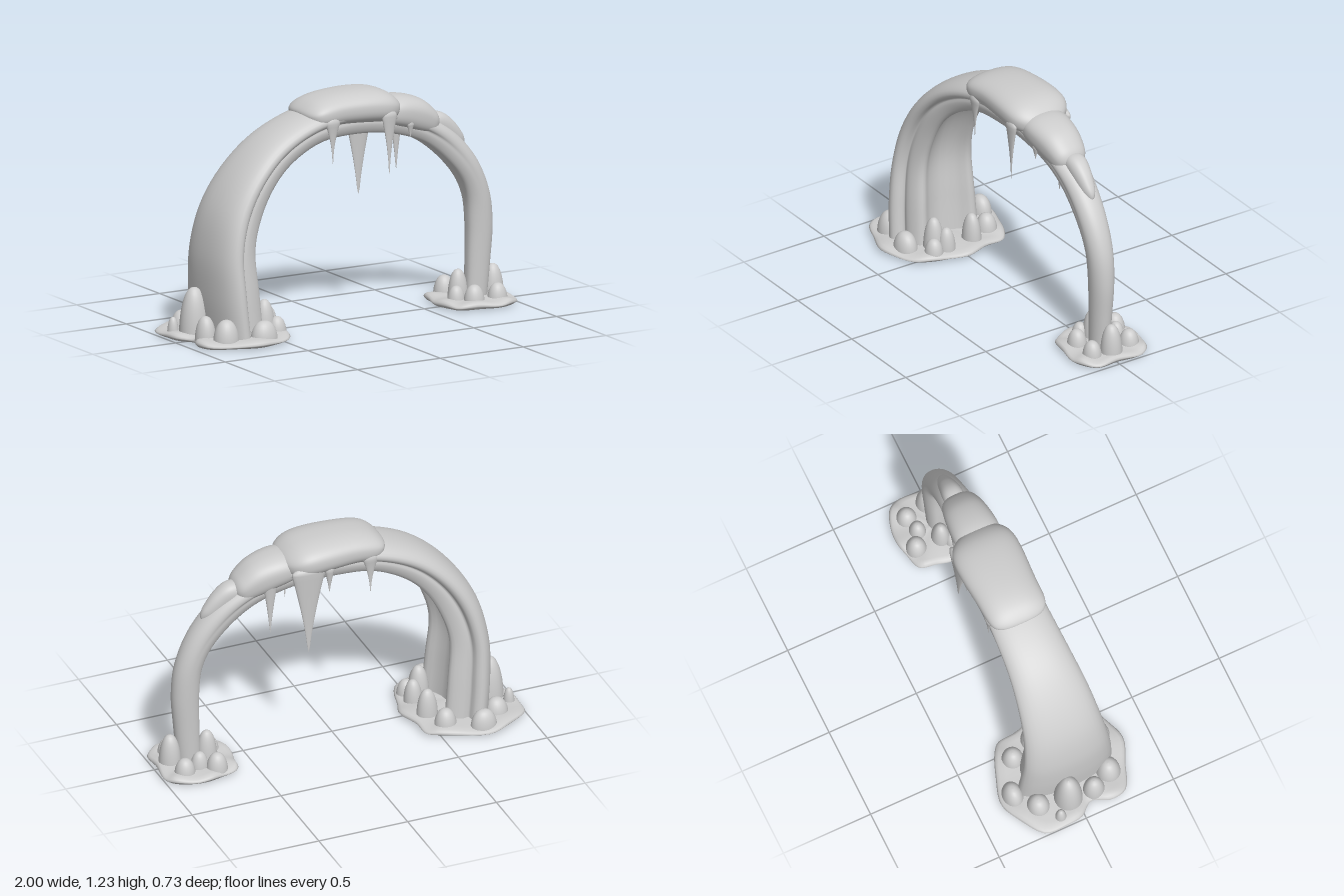
import * as THREE from 'three';

const stone = new THREE.MeshStandardMaterial({ color: 0xcccccc, side: THREE.DoubleSide });
stone.name = 'greyStone';

const add = (parent, name, geometry) => {
  const mesh = new THREE.Mesh(geometry, stone);
  mesh.name = name;
  parent.add(mesh);
  return mesh;
};

// Skin a list of closed rings that all have the same number of points
function loft(rings) {
  const n = rings[0].length, index = [];
  for (let i = 0; i < rings.length - 1; i++) {
    for (let j = 0; j < n; j++) {
      const a = i * n + j, b = i * n + (j + 1) % n;
      index.push(a, b, a + n, b, b + n, a + n);
    }
  }
  const g = new THREE.BufferGeometry();
  g.setAttribute('position', new THREE.Float32BufferAttribute(rings.flat(2), 3));
  g.setIndex(index);
  g.computeVertexNormals();
  return g;
}

// Cross-sections: u runs across the arch, v from its outer (0) to its inner side (1)
const SIDES = 56;
const halfProfile = [
  [0, 0], [0.45, 0.03], [0.8, 0.13], [0.98, 0.28], [1, 0.41], [0.92, 0.51], [0.78, 0.55],
  [0.8, 0.65], [0.77, 0.79], [0.67, 0.95], [0.54, 0.97], [0.36, 0.82], [0, 0.7],
];
const fullProfile = [...halfProfile, ...halfProfile.slice(1, -1).reverse().map(([u, v]) => [-u, v])];
const profileCurve = new THREE.CatmullRomCurve3(
  fullProfile.map(([u, v]) => new THREE.Vector3(u, v, 0)), true);
const grooved = [], rounded = [], padded = [];
const soft = (x, e) => Math.sign(x) * Math.abs(x) ** e;
for (let j = 0; j < SIDES; j++) {
  const p = profileCurve.getPoint(j / SIDES), a = j / SIDES * Math.PI * 2;
  const s = Math.sin(a), c = Math.cos(a);
  grooved.push([p.x, p.y]);
  rounded.push([s, 0.5 - 0.5 * c]);
  padded.push([soft(s, c > 0 ? 0.85 : 0.45), 0.5 - 0.5 * soft(c, 0.85)]);
}

// Stations are [outerX, outerY, innerX, innerY, halfWidth, centreZ]
function sweep(stations, steps, section, capped) {
  const outer = new THREE.CatmullRomCurve3(
    stations.map(s => new THREE.Vector3(s[0], s[1], s[4])), false, 'catmullrom');
  const inner = new THREE.CatmullRomCurve3(
    stations.map(s => new THREE.Vector3(s[2], s[3], s[5])), false, 'catmullrom');
  const rings = [];
  for (let i = 0; i <= steps; i++) {
    const t = capped ? 0.5 - 0.5 * Math.cos(i / steps * Math.PI) : i / steps;
    const o = outer.getPoint(t), n = inner.getPoint(t);
    const size = capped ? Math.max(0, 1 - Math.abs(2 * t - 1) ** 5) ** 0.3 : 1;
    rings.push(section(t).map(([u, v]) => {
      const k = 0.5 + (v - 0.5) * size;
      return [o.x + (n.x - o.x) * k, o.y + (n.y - o.y) * k, n.z + u * o.z * size];
    }));
  }
  return loft(rings);
}

const archStations = [
  [-0.82, 0.02, -0.565, 0.02, 0.265, 0.003], [-0.84, 0.25, -0.585, 0.25, 0.253, 0.003],
  [-0.835, 0.47, -0.6, 0.47, 0.233, 0], [-0.78, 0.69, -0.555, 0.64, 0.212, 0],
  [-0.66, 0.88, -0.47, 0.79, 0.193, 0], [-0.48, 1.04, -0.35, 0.9, 0.173, -0.004],
  [-0.25, 1.14, -0.18, 0.98, 0.16, -0.01], [0, 1.18, 0, 1, 0.152, -0.012],
  [0.28, 1.14, 0.2, 0.985, 0.128, -0.01], [0.5, 1.04, 0.4, 0.93, 0.102, -0.008],
  [0.67, 0.93, 0.54, 0.845, 0.088, -0.005], [0.8, 0.78, 0.67, 0.71, 0.08, 0],
  [0.88, 0.6, 0.735, 0.58, 0.072, 0], [0.903, 0.42, 0.752, 0.42, 0.065, 0],
  [0.89, 0.22, 0.75, 0.22, 0.057, 0], [0.87, 0.02, 0.745, 0.02, 0.051, 0],
];

// Melted pads lying over the crown, big to small
const pads = {
  crownPad: [
    [-0.27, 1.165, -0.245, 1.075, 0.165, -0.01], [-0.18, 1.205, -0.17, 1.06, 0.166, -0.01],
    [-0.06, 1.226, -0.06, 1.065, 0.168, -0.015], [0.1, 1.23, 0.08, 1.06, 0.178, -0.018],
    [0.22, 1.215, 0.2, 1.05, 0.177, -0.018], [0.325, 1.17, 0.305, 1.045, 0.155, -0.012],
  ],
  middlePad: [
    [0.2, 1.17, 0.2, 1.02, 0.135, -0.008], [0.34, 1.168, 0.32, 1.0, 0.127, -0.008],
    [0.46, 1.135, 0.41, 0.97, 0.115, -0.008], [0.54, 1.075, 0.49, 0.945, 0.098, -0.008],
    [0.585, 1.02, 0.54, 0.92, 0.08, -0.01],
  ],
  smallPad: [
    [0.5, 1.05, 0.46, 0.95, 0.055, -0.01], [0.6, 1.04, 0.54, 0.93, 0.057, -0.012],
    [0.67, 0.99, 0.6, 0.89, 0.05, -0.01], [0.725, 0.92, 0.66, 0.84, 0.037, -0.008],
    [0.755, 0.87, 0.71, 0.81, 0.018, -0.006],
  ],
};

// Icicles: [x, z, topY, tipY, radiusX, radiusZ, taper]
const icicles = [
  [-0.135, 0.14, 1.09, 0.875, 0.042, 0.018, 2], [0.205, 0.142, 1.09, 0.78, 0.045, 0.018, 1.7],
  [0.2, -0.163, 1.09, 0.615, 0.095, 0.027, 1.35], [-0.15, -0.158, 1.09, 0.89, 0.042, 0.018, 1.9],
  [0.085, -0.168, 1.08, 0.95, 0.026, 0.018, 1.3], [0.39, -0.1, 1.03, 0.74, 0.04, 0.02, 1.3],
  [0.36, 0.095, 1.02, 0.95, 0.022, 0.015, 1.3],
];

// Thin spike that flares upward and ends in a rounded shoulder
function icicle([, , top, tip, , , taper]) {
  const points = [new THREE.Vector2(0, 0)];
  for (let i = 1; i <= 14; i++) {
    const h = i / 14;
    points.push(new THREE.Vector2(0.06 + 0.94 * h ** taper, h * (top - tip)));
  }
  for (let i = 1; i <= 5; i++) {
    const a = i / 5 * Math.PI / 2;
    points.push(new THREE.Vector2(Math.cos(a), top - tip + 0.035 * Math.sin(a)));
  }
  return new THREE.LatheGeometry(points, 20);
}

// Feet: puddle outline in x, z and pebbles [x, z, radiusX, radiusZ, topY]
const feet = {
  wideFoot: {
    centre: [-0.7, 0],
    outline: [[-0.99, -0.23], [-0.87, -0.32], [-0.75, -0.37], [-0.6, -0.33], [-0.48, -0.28],
      [-0.43, -0.235], [-0.42, -0.13], [-0.38, 0], [-0.41, 0.1], [-0.43, 0.19], [-0.48, 0.28],
      [-0.58, 0.33], [-0.69, 0.36], [-0.82, 0.31], [-0.95, 0.25], [-0.97, 0.16], [-0.93, 0.06],
      [-0.99, -0.02], [-1, -0.12]],
    pebbles: [[-0.73, -0.295, 0.072, 0.055, 0.125], [-0.84, -0.2, 0.065, 0.06, 0.12],
      [-0.945, -0.12, 0.03, 0.03, 0.11], [-0.865, -0.04, 0.08, 0.075, 0.275],
      [-0.88, 0.1, 0.055, 0.058, 0.15], [-0.82, 0.21, 0.07, 0.065, 0.145],
      [-0.615, 0.25, 0.075, 0.06, 0.125], [-0.54, 0.125, 0.058, 0.055, 0.205],
      [-0.485, 0.16, 0.052, 0.05, 0.115], [-0.55, -0.21, 0.06, 0.058, 0.125],
      [-0.5, -0.085, 0.058, 0.05, 0.185], [-0.49, 0.08, 0.05, 0.05, 0.155]],
  },
  narrowFoot: {
    centre: [0.79, -0.02],
    outline: [[0.59, -0.1], [0.61, -0.19], [0.7, -0.22], [0.78, -0.24], [0.88, -0.23],
      [0.97, -0.19], [1, -0.13], [0.99, 0], [0.99, 0.12], [0.93, 0.18], [0.86, 0.2],
      [0.75, 0.185], [0.635, 0.16], [0.595, 0.1], [0.57, 0]],
    pebbles: [[0.715, -0.16, 0.058, 0.055, 0.125], [0.885, -0.135, 0.056, 0.054, 0.115],
      [0.795, -0.115, 0.05, 0.045, 0.125], [0.915, -0.005, 0.06, 0.058, 0.195],
      [0.885, 0.095, 0.055, 0.05, 0.115], [0.745, 0.095, 0.057, 0.052, 0.12],
      [0.715, -0.02, 0.056, 0.05, 0.185], [0.675, 0.03, 0.048, 0.045, 0.11]],
  },
};

// Thin puddle with a wavy rounded rim, hollow underneath
function puddle(outline, [cx, cz]) {
  const curve = new THREE.CatmullRomCurve3(
    [...outline].reverse().map(([x, z]) => new THREE.Vector3(x, 0, z)), true);
  const points = curve.getPoints(72).slice(0, -1);
  const layers = [[0.8, 0.012], [0.87, 0.002], [0.94, 0.005], [0.985, 0.014], [1, 0.02],
    [0.98, 0.028], [0.94, 0.036], [0.84, 0.041], [0.5, 0.043], [0, 0.043]];
  return loft(layers.map(([s, y]) => points.map((p, j) => {
    const wave = 1 + 0.22 * s ** 3 * Math.sin(j / points.length * Math.PI * 14);
    return [cx + (p.x - cx) * s, y * wave, cz + (p.z - cz) * s];
  })));
}

export function createModel() {
  const model = new THREE.Group();
  model.name = 'stoneArch';

  // Arch: wide grooved leg that blends into a slim, nearly round one
  add(model, 'arch', sweep(archStations, 96, t => {
    const k = 0.92 * THREE.MathUtils.smoothstep(t, 0.48, 0.84);
    return grooved.map(([u, v], j) => [
      u + (rounded[j][0] - u) * k, v + (rounded[j][1] - v) * k]);
  }, false));

  for (const [name, stations] of Object.entries(pads)) {
    add(model, name, sweep(stations, 40, () => padded, true));
  }

  for (const spec of icicles) {
    const mesh = add(model, 'icicle', icicle(spec));
    mesh.position.set(spec[0], spec[3], spec[1]);
    mesh.scale.set(spec[4], 1, spec[5]);
  }

  // Feet with blunt egg-shaped pebbles
  const eggProfile = Array.from({ length: 11 }, (_, i) => {
    const a = i / 10 * Math.PI / 2;
    return new THREE.Vector2(i < 10 ? Math.cos(a) ** 0.85 : 0, Math.sin(a));
  });
  const egg = new THREE.LatheGeometry(eggProfile, 24);
  for (const [name, foot] of Object.entries(feet)) {
    const group = new THREE.Group();
    group.name = name;
    add(group, 'puddle', puddle(foot.outline, foot.centre));
    for (const [x, z, rx, rz, top] of foot.pebbles) {
      const pebble = add(group, 'pebble', egg);
      pebble.position.set(x, 0.015, z);
      pebble.scale.set(rx, top - 0.015, rz);
    }
    model.add(group);
  }
  return model;
}
